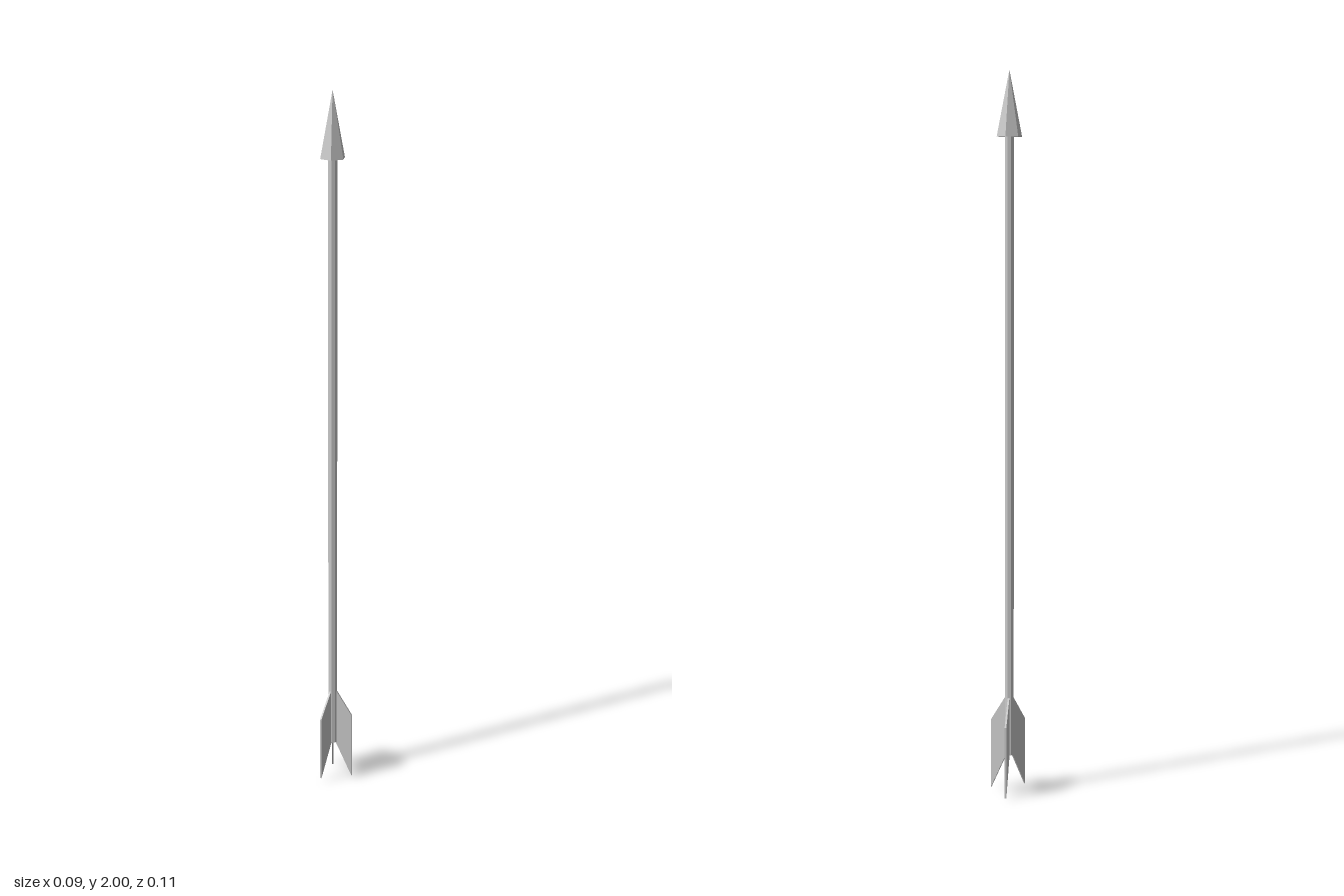
import * as THREE from 'three';

const material = new THREE.MeshStandardMaterial({ color: 0xcccccc, flatShading: true });

function part(name, geometry, parent) {
  const mesh = new THREE.Mesh(geometry, material);
  mesh.name = name;
  parent.add(mesh);
  return mesh;
}

export function createModel() {
  const arrow = new THREE.Group();
  arrow.name = 'arrow';

  // everything is built around the shaft axis, which sits slightly off centre
  const body = new THREE.Group();
  body.name = 'arrowBody';
  body.position.set(-0.01, 0, -0.006);
  arrow.add(body);

  // shaft
  const bottom = 0.11, headBase = 1.823;
  part('shaft', new THREE.CylinderGeometry(0.013, 0.013, headBase - bottom, 8, 1, false, Math.PI / 8), body)
    .position.y = (bottom + headBase) / 2;

  // six-sided head with two corners on the x axis
  part('head', new THREE.CylinderGeometry(0, 0.035, 2 - headBase, 6, 1, false, Math.PI / 6), body)
    .position.y = (2 + headBase) / 2;

  // three swept feathers: heading around the axis and height of the trailing tip
  const thickness = 0.005;
  const feathers = [['frontFeather', 270, 0.012], ['leftFeather', 19, 0.006], ['backFeather', 127, 0]];
  for (const [name, degrees, tip] of feathers) {
    const outline = new THREE.Shape([
      new THREE.Vector2(0.009, 0.11),
      new THREE.Vector2(0.058, tip),
      new THREE.Vector2(0.058, 0.203),
      new THREE.Vector2(0.009, 0.28),
    ]);
    const geometry = new THREE.ExtrudeGeometry(outline, { depth: thickness, bevelEnabled: false });
    geometry.translate(0, 0, -thickness / 2);
    part(name, geometry, body).rotation.y = THREE.MathUtils.degToRad(degrees);
  }

  return arrow;
}
